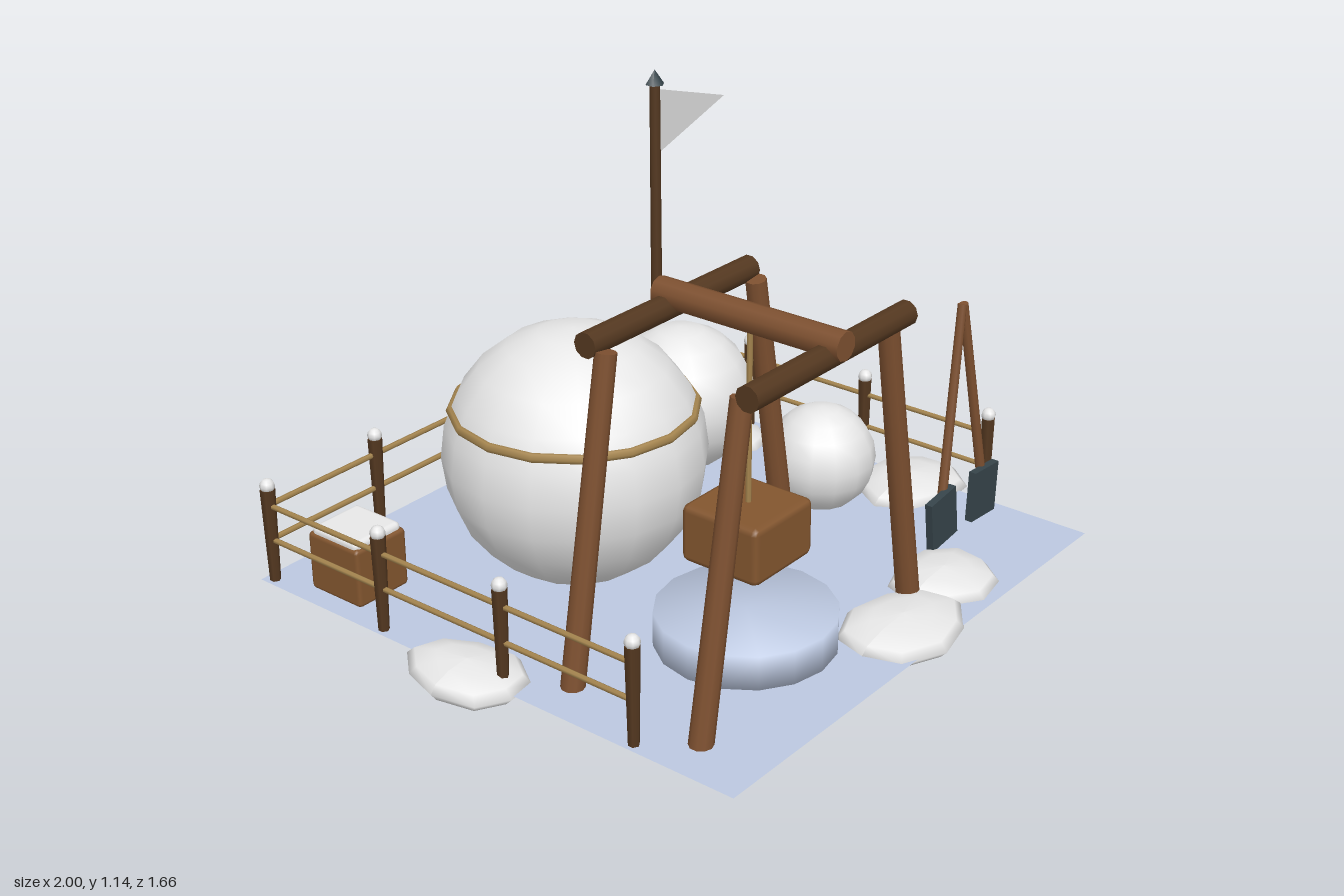
import * as THREE from 'three';
import { mergeVertices } from 'three/addons/utils/BufferGeometryUtils.js';
import { RoundedBoxGeometry } from 'three/addons/geometries/RoundedBoxGeometry.js';

const mat = (name, color, side = THREE.FrontSide) => {
  const m = new THREE.MeshStandardMaterial({ color, side });
  m.name = name;
  return m;
};

export function createModel() {
  const group = new THREE.Group();
  const snow = mat('snow', 0xececec);
  const ice = mat('ice', 0xbcc8e0, THREE.DoubleSide);
  const wood = mat('wood', 0x7d5030);
  const darkWood = mat('dark wood', 0x543820);
  const crateWood = mat('crate wood', 0x83562f);
  const rope = mat('rope', 0xa5854f);
  const slate = mat('slate', 0x36444a);
  const cloth = mat('flag cloth', 0xdcdcdc, THREE.DoubleSide);
  const G = 0.05; // ground level

  const add = (name, geo, material, x = 0, y = 0, z = 0, parent = group) => {
    const mesh = new THREE.Mesh(geo, material);
    mesh.name = name;
    mesh.position.set(x, y, z);
    parent.add(mesh);
    return mesh;
  };
  // Round bar between two points
  const bar = (name, a, b, r0, r1, material, sides = 8) => {
    const p = new THREE.Vector3(...a), q = new THREE.Vector3(...b);
    const d = q.clone().sub(p);
    const mesh = add(name, new THREE.CylinderGeometry(r1, r0, d.length(), sides), material);
    mesh.position.copy(p).add(q).multiplyScalar(0.5);
    mesh.quaternion.setFromUnitVectors(new THREE.Vector3(0, 1, 0), d.normalize());
    return mesh;
  };

  // Ground sheet
  add('ground', new THREE.PlaneGeometry(1.62, 1.62).rotateX(-Math.PI / 2), ice, -0.07, G, -0.02);

  // Ice block with soft shading
  let disc = new THREE.CylinderGeometry(0.242, 0.242, 0.1, 16);
  disc.deleteAttribute('uv');
  disc.deleteAttribute('normal');
  disc = mergeVertices(disc);
  disc.computeVertexNormals();
  add('iceBlock', disc, ice, -0.31, 0.096, 0.39);

  // Snowballs
  const ball = (name, r, x, y, z, w, h) =>
    add(name, new THREE.SphereGeometry(r, w, h), snow, x, y, z);
  ball('largeSnowball', 0.357, -0.31, 0.418, -0.185, 16, 12);
  ball('mediumSnowball', 0.222, 0.375, 0.274, -0.38, 14, 10);
  ball('smallSnowball', 0.157, 0.413, 0.21, 0.105, 14, 10);

  // Ropes around the large snowball, the lower one nearly buried
  for (const [y, r, t] of [[0.553, 0.324, 0.014], [0.297, 0.319, 0.01]]) {
    const ring = new THREE.TorusGeometry(r, t, 6, 16).rotateX(Math.PI / 2);
    add('snowballRope', ring, rope, -0.31, y, -0.185);
  }

  // Hoist frame: two leaning trestles joined by a ridge beam
  for (const [legZ, beamZ] of [[0.187, 0.147], [0.595, 0.632]]) {
    bar('leftLeg', [0.135, G - 0.005, legZ], [-0.015, 0.91, legZ], 0.032, 0.028, wood, 10);
    bar('rightLeg', [-0.755, G - 0.005, legZ], [-0.605, 0.91, legZ], 0.032, 0.028, wood, 10);
    bar('crossBeam', [-0.635, 0.925, beamZ], [0.01, 0.925, beamZ], 0.034, 0.034, darkWood, 10);
  }
  bar('ridgeBeam', [-0.31, 0.955, 0.11], [-0.31, 0.955, 0.675], 0.038, 0.038, wood, 10);

  // Hanging load
  bar('hoistRope', [-0.31, 0.44, 0.393], [-0.31, 0.93, 0.393], 0.008, 0.008, rope, 6);
  add('hangingCrate', new RoundedBoxGeometry(0.24, 0.16, 0.24, 1, 0.018), crateWood, -0.31, 0.375, 0.39);

  // Ground crates capped with snow
  for (const [x, z] of [[-0.73, -0.6], [0.58, -0.612]]) {
    add('crate', new RoundedBoxGeometry(0.18, 0.172, 0.19, 1, 0.012), crateWood, x, 0.132, z);
    add('crateSnow', new RoundedBoxGeometry(0.168, 0.035, 0.172, 2, 0.016), snow, x, 0.219, z);
    add('crateLatch', new THREE.BoxGeometry(0.005, 0.06, 0.03), darkWood, x + 0.091, 0.125, z);
  }

  // Fence: posts along three sides with two rails between neighbours
  const X0 = -0.855, X1 = 0.715, ZB = -0.8;
  const zs = [0.47, 0.045, -0.38], xs = [0, 1, 2, 3, 4].map(i => X0 + i * (X1 - X0) / 4);
  const posts = [
    ...zs.map(z => [X0, z]),
    ...xs.map(x => [x, ZB]),
    ...zs.slice().reverse().map(z => [X1, z]),
  ];
  posts.forEach(([x, z], i) => {
    bar('fencePost', [x, G - 0.003, z], [x, 0.325, z], 0.015, 0.021, darkWood, 6);
    add('postSnow', new THREE.SphereGeometry(0.021, 8, 6), snow, x, 0.335, z);
    if (!i) return;
    const [px, pz] = posts[i - 1];
    for (const y of [0.277, 0.174])
      bar('fenceRail', [px, y, pz], [x, y, z], 0.008, 0.008, rope, 6);
  });

  // Flag on its pole
  bar('flagPole', [0.658, G, -0.705], [0.658, 1.105, -0.705], 0.018, 0.016, darkWood, 8);
  add('poleTip', new THREE.ConeGeometry(0.03, 0.045, 6), slate, 0.658, 1.122, -0.705);
  const flag = new THREE.Shape([[0.668, 1.082], [0.668, 0.877], [0.995, 0.984]]
    .map(p => new THREE.Vector2(...p)));
  add('flag', new THREE.ShapeGeometry(flag), cloth, 0, 0, -0.705);

  // Two shovels leaning on each other
  for (const [x, topX, tilt] of [[0.41, 0.535, -0.13], [0.62, 0.542, 0.06]].map(
    ([x, t, r]) => [x, t, -r])) {
    const footX = x < 0.5 ? 0.428 : 0.632;
    bar('shovelHandle', [footX, 0.19, 0.505], [topX, 0.735, 0.473], 0.014, 0.013, wood, 8);
    const blade = add('shovelBlade', new THREE.BoxGeometry(0.122, 0.15, 0.022), slate, x, 0.147, 0.518);
    blade.rotation.z = tilt;
  }

  // Snow drifts: flattened, uneven low-sided blobs
  const drifts = [
    [-0.87, -0.065, 0.13, 0.185], [0, 0.67, 0.205, 0.155], [0.275, 0.617, 0.165, 0.145],
    [0.69, 0.232, 0.178, 0.153], [0.6, -0.37, 0.105, 0.125],
  ];
  drifts.forEach(([x, z, rx, rz], i) => {
    const geo = new THREE.SphereGeometry(1, 9, 6);
    const p = geo.attributes.position;
    for (let k = 0; k < p.count; k++) {
      const a = Math.atan2(p.getZ(k), p.getX(k));
      const s = 1 + 0.06 * Math.sin(3 * a + i * 1.7);
      p.setXYZ(k, p.getX(k) * s * rx, p.getY(k) * 0.045, p.getZ(k) * s * rz);
    }
    geo.computeVertexNormals();
    add('snowDrift', geo, snow, x, 0.047, z);
  });

  return group;
}
